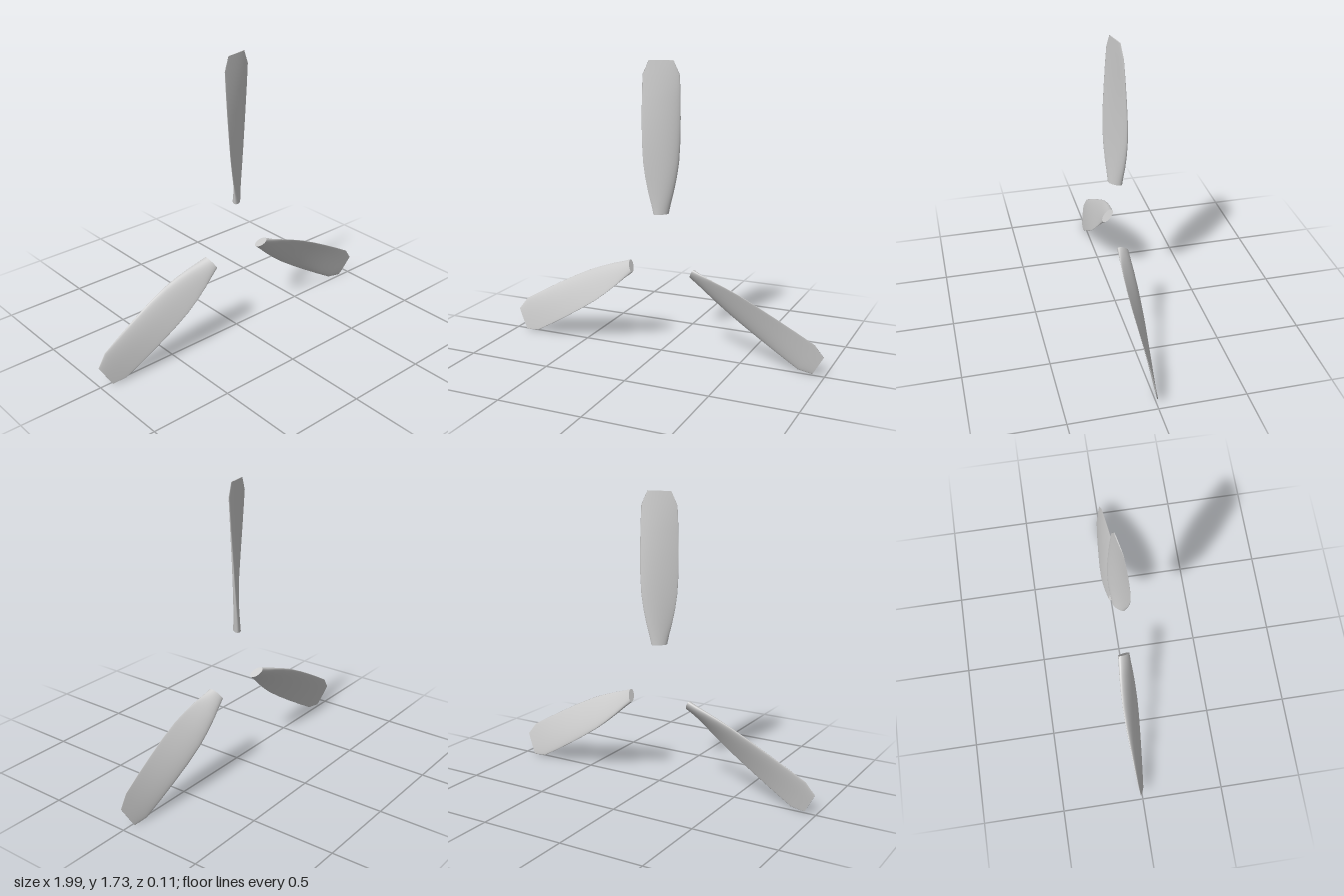
import * as THREE from 'three';

// Blade stations from root to tip: [radius, half chord, half thickness, pitch in degrees, airfoil amount]
const STATIONS = [
  [0.225, 0.047, 0.022, 45, 0],
  [0.28, 0.058, 0.020, 41, 0.4],
  [0.35, 0.075, 0.018, 37, 0.8],
  [0.44, 0.092, 0.016, 33, 1],
  [0.53, 0.104, 0.0145, 30, 1],
  [0.65, 0.110, 0.013, 26.5, 1],
  [0.78, 0.111, 0.011, 22, 1],
  [0.91, 0.110, 0.009, 17.5, 1],
  [1.03, 0.107, 0.006, 13, 1],
  [1.11, 0.071, 0.003, 12, 1],
];
const SIDES = 28;
const HUB_HEIGHT = 0.62;

// One twisted cross-section: an ellipse blending into an airfoil with its leading edge at +x
function section([radius, chord, thick, pitch, foil]) {
  const p = THREE.MathUtils.degToRad(pitch);
  const ring = [];
  for (let j = 0; j < SIDES; j++) {
    const a = (j / SIDES) * Math.PI * 2;
    const u = Math.cos(a);
    const camber = Math.sin(a) > 0 ? 1.2 : 0.8;
    const shape = THREE.MathUtils.lerp(1, (0.7 + 0.4 * u) * camber * 1.2, foil);
    const c = chord * u;
    const n = thick * Math.sin(a) * shape;
    ring.push([
      c * Math.cos(p) + n * Math.sin(p),
      radius,
      -c * Math.sin(p) + n * Math.cos(p),
    ]);
  }
  return ring;
}

function bladeGeometry() {
  const rings = STATIONS.map(section);
  const positions = rings.flat(2);
  const index = [];
  // Skin between neighbouring sections
  for (let i = 0; i < rings.length - 1; i++) {
    for (let j = 0; j < SIDES; j++) {
      const k = (j + 1) % SIDES;
      const a = i * SIDES + j, b = i * SIDES + k;
      index.push(a, a + SIDES, b, b, a + SIDES, b + SIDES);
    }
  }
  // Flat caps with their own vertices, so the rims stay sharp
  const cap = (ring, top) => {
    const start = positions.length / 3;
    positions.push(0, ring[0][1], 0, ...ring.flat());
    for (let j = 0; j < SIDES; j++) {
      const a = start + 1 + j, b = start + 1 + ((j + 1) % SIDES);
      index.push(start, top ? b : a, top ? a : b);
    }
  };
  cap(rings[0], false);
  cap(rings[rings.length - 1], true);

  const geometry = new THREE.BufferGeometry();
  geometry.setAttribute('position', new THREE.Float32BufferAttribute(positions, 3));
  geometry.setIndex(index);
  geometry.computeVertexNormals();
  return geometry;
}

export function createModel() {
  const model = new THREE.Group();
  model.name = 'propellerBlades';
  const material = new THREE.MeshStandardMaterial({ color: 0xcccccc });
  const geometry = bladeGeometry();
  // Three blades spread evenly around the hub axis
  ['topBlade', 'rightBlade', 'leftBlade'].forEach((name, i) => {
    const blade = new THREE.Mesh(geometry, material);
    blade.name = name;
    blade.position.y = HUB_HEIGHT;
    blade.rotation.z = (i * Math.PI * 2) / 3;
    model.add(blade);
  });
  return model;
}
